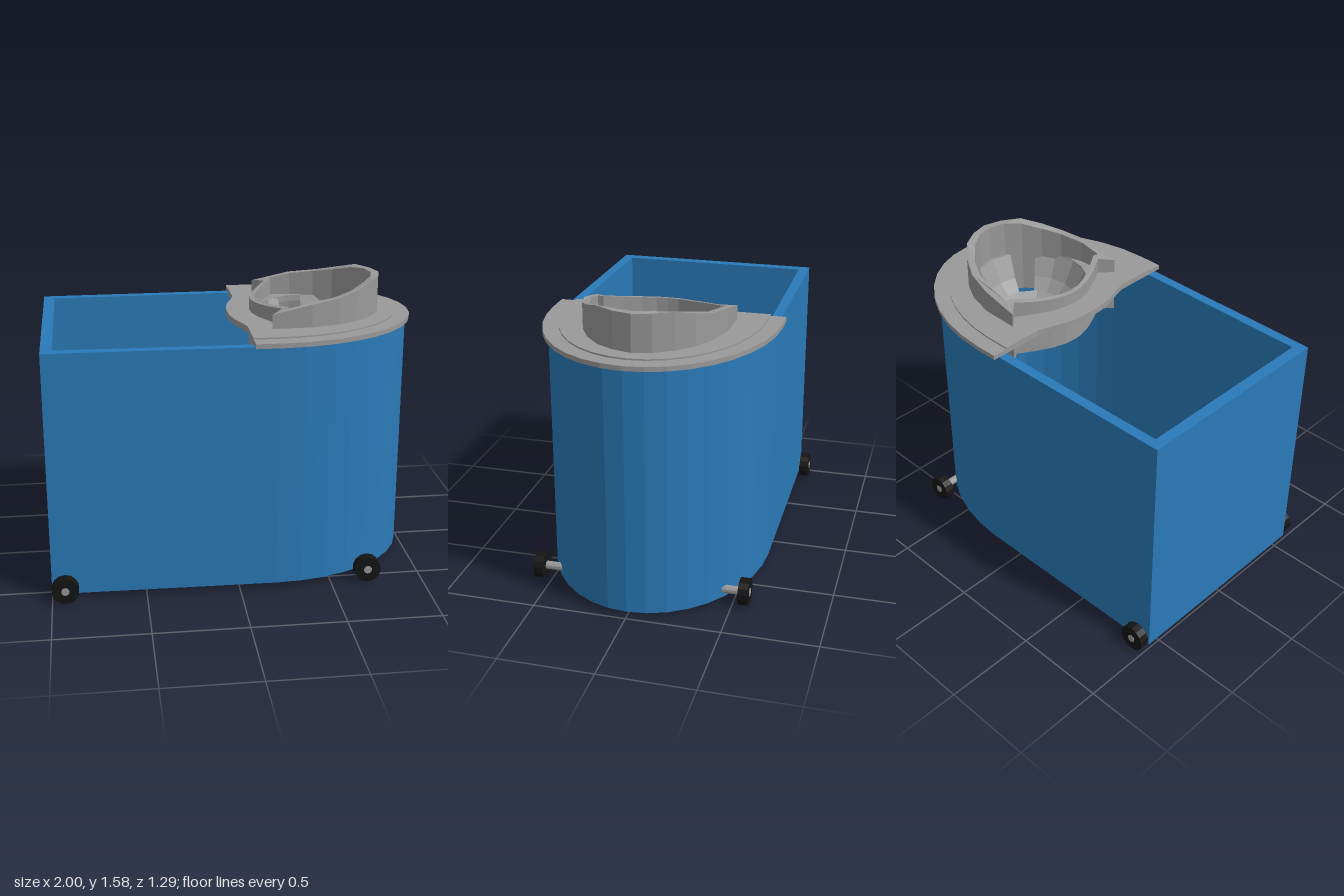
import * as THREE from 'three';

const mat = (color) => new THREE.MeshStandardMaterial({ color, flatShading: true, side: THREE.DoubleSide });
const vec = (list) => list.map(([x, z]) => new THREE.Vector2(x, z));

// Rounded nose: half ellipse around x = 0.2, from z = -b to z = +b
function nose(a, b, n = 18) {
  const pts = [];
  for (let i = 0; i <= n; i++) {
    const t = -Math.PI / 2 + (Math.PI * i) / n;
    pts.push([0.2 + a * Math.cos(t), b * Math.sin(t)]);
  }
  return pts;
}

// Horizontal slab between two heights, with optional hole outlines
function slab(outline, y0, y1, holes = []) {
  const shape = new THREE.Shape(vec(outline));
  for (const h of holes) shape.holes.push(new THREE.Path(vec(h)));
  const g = new THREE.ExtrudeGeometry(shape, { depth: y1 - y0, bevelEnabled: false });
  g.rotateX(-Math.PI / 2);
  g.translate(0, y0, 0);
  return g;
}

// Adds the mirrored half of an outline that runs from z > 0 to z = 0
const mirrored = (half) => [
  ...half,
  ...half.filter(([, z]) => z > 0).reverse().map(([x, z]) => [x, -z]),
];

export function createModel() {
  const model = new THREE.Group();
  const blue = mat(0x2a7ab8), grey = mat(0x999999), black = mat(0x141414);
  const add = (name, geometry, material, parent = model) => {
    const mesh = new THREE.Mesh(geometry, material);
    mesh.name = name;
    parent.add(mesh);
    return mesh;
  };

  // Bucket: straight tail, rounded nose, hollow above the floor
  const outer = [[-1, -0.58], ...nose(0.78, 0.593), [-1, 0.58]];
  const inner = [[-0.94, -0.525], ...nose(0.72, 0.54), [-0.94, 0.525]];
  add('bucketWall', slab(outer, 0.03, 1.355, [inner]), blue);
  add('bucketFloor', slab(inner, 0.03, 0.09), blue);

  // Wringer plate with a wavy rear edge and a round opening
  const cx = 0.465, rim = 0.315;
  const opening = [];
  for (let i = 0; i < 20; i++) {
    const t = (i * Math.PI) / 10;
    opening.push([cx + rim * Math.cos(t), rim * Math.sin(t)]);
  }
  const rear = [[0.07, 0.32], [0.05, 0.25], [0.02, 0.17], [0.003, 0.08], [0, 0]];
  const rearEdge = mirrored(rear);
  const plate = (a, b) => [[0.07, -b], ...nose(a, b), [0.07, b], ...rearEdge];
  add('wringerPlate', slab(plate(0.8, 0.625), 1.355, 1.38, [opening]), grey);
  add('plateStep', slab(plate(0.715, 0.54), 1.38, 1.388, [opening]), grey);

  // Wringer cup: its wall climbs toward the nose and reaches below the plate
  const cupOuter = mirrored([
    [0.125, 0], [0.13, 0.06], [0.155, 0.14], [0.2, 0.23], [0.25, 0.315], [0.19, 0.385],
    [0.4, 0.38], [0.55, 0.34], [0.66, 0.28], [0.75, 0.2], [0.81, 0.1], [0.835, 0],
  ].reverse()).filter((p, i, all) => all.findIndex((q) => q[0] === p[0] && q[1] === p[1]) === i);
  const cupInner = mirrored([
    [0.79, 0], [0.77, 0.09], [0.715, 0.175], [0.63, 0.25], [0.53, 0.305], [0.4, 0.34],
    [0.28, 0.345], [0.285, 0.315], [0.225, 0.22], [0.18, 0.13], [0.155, 0.06], [0.15, 0],
  ]);
  const profile = [[0.12, 1.455], [0.18, 1.462], [0.4, 1.51], [0.6, 1.535], [0.75, 1.585], [0.85, 1.585]];
  const topAt = (x) => {
    let i = 1;
    while (i < profile.length - 1 && x > profile[i][0]) i++;
    const [x0, y0] = profile[i - 1], [x1, y1] = profile[i];
    return y0 + ((y1 - y0) * (x - x0)) / (x1 - x0);
  };
  const cup = slab(cupOuter, 1.15, 1.45, [cupInner]);
  const p = cup.attributes.position;
  for (let i = 0; i < p.count; i++) if (p.getY(i) > 1.3) p.setY(i, topAt(p.getX(i)));
  cup.computeVertexNormals();
  add('wringerCup', cup, grey);

  // Basket: ribs between the drain slots, above a ring with a drain hole
  const basket = new THREE.Group();
  basket.name = 'wringerBasket';
  basket.position.x = cx;
  model.add(basket);
  const slots = [35, 104, 144, 180, 230, 325];
  const halfSlot = 13;
  const ribProfile = vec([[0.185, 1.19], [0.25, 1.26], [rim, 1.385]]);
  slots.forEach((s, i) => {
    const start = s + halfSlot;
    const end = (i + 1 < slots.length ? slots[i + 1] : slots[0] + 360) - halfSlot;
    const steps = Math.max(1, Math.round((end - start) / 20));
    const rad = THREE.MathUtils.degToRad;
    add('basketRib', new THREE.LatheGeometry(ribProfile, steps, rad(start + 90), rad(end - start)), grey, basket);
  });
  add('basketRing', new THREE.LatheGeometry(vec([[0.1, 1.14], [0.195, 1.2]]), 10), grey, basket);

  // Wheels with axle stubs; the nose pair sits closer in
  for (const [x, z, axleIn] of [[-0.93, 0.617, 0.56], [0.7, 0.56, 0.43]]) {
    for (const side of [-1, 1]) {
      const wheel = add('wheel', new THREE.CylinderGeometry(0.072, 0.072, 0.052, 14), black);
      wheel.rotation.x = Math.PI / 2;
      wheel.position.set(x, 0.073, side * z);
      const axleOut = z + 0.029;
      const axle = add('axle', new THREE.CylinderGeometry(0.022, 0.022, axleOut - axleIn, 10), grey);
      axle.rotation.x = Math.PI / 2;
      axle.position.set(x, 0.073, (side * (axleOut + axleIn)) / 2);
    }
  }
  return model;
}
